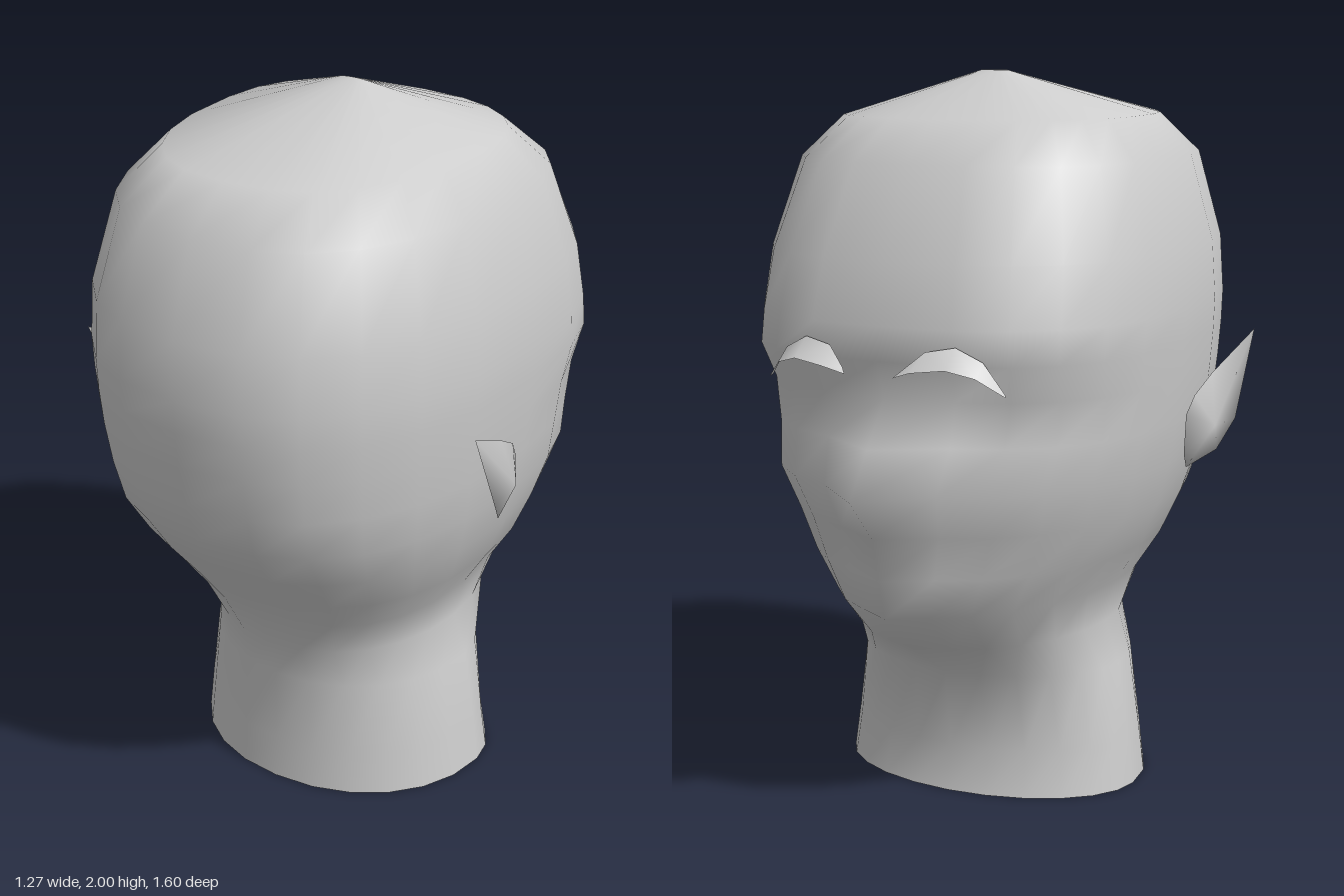
import * as THREE from 'three';

const skin = new THREE.MeshStandardMaterial({ color: 0xcccccc, side: THREE.DoubleSide });
skin.name = 'plainGrey';

function build(name, points, faces) {
  const g = new THREE.BufferGeometry();
  g.setAttribute('position', new THREE.Float32BufferAttribute(points.flat(), 3));
  g.setIndex(faces.flat());
  g.computeVertexNormals();
  const mesh = new THREE.Mesh(g, skin);
  mesh.name = name;
  return mesh;
}

// Head and neck: rounded-square rings from the open neck up to the crown.
// Each ring: y, half width, back depth, front depth, profile depth, front squareness
const RINGS = [
  [0, 0.445, 0.40, 0.29, 0.29, 2],
  [0.13, 0.428, 0.395, 0.265, 0.265, 2],
  [0.35, 0.395, 0.39, 0.29, 0.30, 2],
  [0.47, 0.355, 0.42, 0.46, 0.48, 2],
  [0.59, 0.385, 0.47, 0.59, 0.63, 2],
  [0.70, 0.455, 0.55, 0.605, 0.66, 2.1],
  [0.82, 0.505, 0.65, 0.62, 0.69, 2.2],
  [0.94, 0.54, 0.73, 0.67, 0.80, 2.3],
  [1.06, 0.558, 0.765, 0.62, 0.71, 2.4],
  [1.18, 0.57, 0.787, 0.61, 0.62, 2.5],
  [1.28, 0.577, 0.797, 0.66, 0.65, 2.7],
  [1.37, 0.58, 0.80, 0.65, 0.645, 2.6],
  [1.53, 0.57, 0.79, 0.61, 0.61, 2.5],
  [1.77, 0.51, 0.71, 0.50, 0.50, 2.4],
  [1.88, 0.41, 0.57, 0.36, 0.36, 2.4],
  [2.0, 0.04, 0.02, 0.01, 0.01, 2],
];

function makeHead() {
  const N = 24, points = [], faces = [];
  const pow = (v, n) => Math.sign(v) * Math.abs(v) ** (2 / n);
  for (const [y, w, back, front, profile, square] of RINGS) {
    for (let j = 0; j < N; j++) {
      const t = (j / N) * Math.PI * 2, c = Math.cos(t), s = Math.sin(t);
      const n = c > 0 ? square : y < 0.5 ? 2.1 : 2.4;
      const z = j === 0 ? -profile : -pow(c, n) * (c > 0 ? front : back);
      points.push([w * pow(s, n), y, z]);
    }
  }
  for (let i = 0; i < RINGS.length - 1; i++) {
    for (let j = 0; j < N; j++) {
      const k = (j + 1) % N, a = i * N + j, b = i * N + k;
      faces.push([a, a + N, b], [b, a + N, b + N]);
    }
  }
  // crown cap
  const top = points.length, last = top - N;
  points.push([0, 2, 0]);
  for (let j = 0; j < N; j++) faces.push([last + j, top, last + ((j + 1) % N)]);
  return build('headAndNeck', points, faces);
}

// Pointed ear: leaf outline closed by a bulging outer and a flatter inner centre
function makeEar(side) {
  const outline = [
    [0.635, 1.27, 0.39], [0.59, 1.17, 0.18], [0.575, 1.12, 0.09], [0.565, 1.07, 0.055],
    [0.56, 0.96, 0.055], [0.545, 0.91, 0.11], [0.60, 0.95, 0.20], [0.628, 1.03, 0.27],
  ];
  const n = outline.length;
  const points = [...outline, [0.618, 1.03, 0.14], [0.55, 1.03, 0.15]]
    .map(([x, y, z]) => [side * x, y, z]);
  const faces = [];
  for (let i = 0; i < n; i++) {
    const k = (i + 1) % n;
    faces.push(side > 0 ? [n, k, i] : [n, i, k], side > 0 ? [n + 1, i, k] : [n + 1, k, i]);
  }
  return build(side > 0 ? 'leftEar' : 'rightEar', points, faces);
}

// Eyebrow: thin arched shelf standing off the forehead
function makeBrow(side) {
  const front = [[0.07, 1.25, -0.70], [0.13, 1.27, -0.718], [0.22, 1.28, -0.70], [0.29, 1.26, -0.67], [0.35, 1.21, -0.62]];
  const back = [[0.085, 1.265, -0.685], [0.14, 1.315, -0.655], [0.22, 1.33, -0.64], [0.29, 1.295, -0.625], [0.345, 1.215, -0.61]];
  const points = [...front, ...back].map(([x, y, z]) => [side * x, y, z]);
  const faces = [], n = front.length;
  for (let i = 0; i < n - 1; i++) {
    const quad = [[i, i + n, i + 1], [i + 1, i + n, i + n + 1]];
    faces.push(...quad.map((f) => (side > 0 ? f : f.reverse())));
  }
  return build(side > 0 ? 'leftBrow' : 'rightBrow', points, faces);
}

export function createModel() {
  const model = new THREE.Group();
  model.name = 'headBust';
  model.add(makeHead());
  for (const side of [1, -1]) model.add(makeEar(side), makeBrow(side));
  return model;
}
